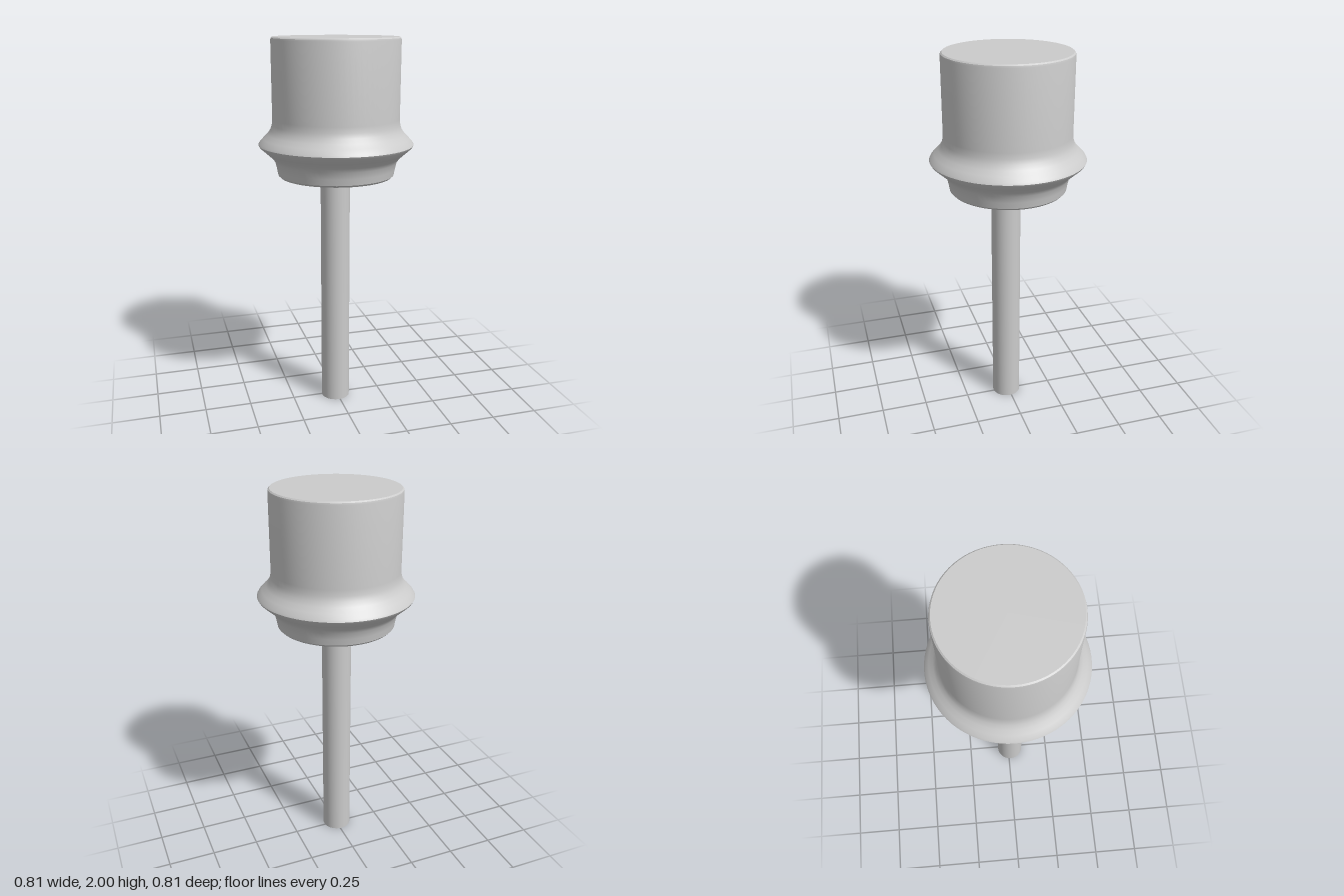
import * as THREE from 'three';
import { toCreasedNormals } from 'three/addons/utils/BufferGeometryUtils.js';

const material = new THREE.MeshStandardMaterial({ color: 0xcccccc });

// Revolves a [radius, height] profile, keeping its sharp edges
function turned(name, profile, segments) {
  const points = profile.map(([r, y]) => new THREE.Vector2(r, y));
  const geometry = toCreasedNormals(new THREE.LatheGeometry(points, segments), 0.6);
  const mesh = new THREE.Mesh(geometry, material);
  mesh.name = name;
  return mesh;
}

export function createModel() {
  const model = new THREE.Group();
  model.name = 'flangedKnob';

  // Head: hollow underside, rim, flared flange, then straight drum with a flat top
  const cavity = [[0, 1.52], [0.08, 1.51], [0.12, 1.47], [0.145, 1.41], [0.17, 1.365],
    [0.21, 1.335], [0.245, 1.315], [0.265, 1.292]];
  const rim = [[0.275, 1.287], [0.296, 1.287], [0.306, 1.297], [0.312, 1.33], [0.32, 1.365]];
  const flange = [[0.335, 1.388], [0.365, 1.415], [0.4, 1.446], [0.406, 1.457], [0.4, 1.468],
    [0.38, 1.49], [0.358, 1.512], [0.342, 1.535], [0.334, 1.56], [0.331, 1.59]];
  const drum = [[0.331, 1.985], [0.329, 1.994], [0.322, 2], [0, 2]];
  model.add(turned('head', [...cavity, ...rim, ...flange, ...drum], 72));

  // Stem: plain rod, set very slightly off the head's axis
  const stem = turned('stem', [[0, 0], [0.078, 0], [0.078, 1.53], [0, 1.53]], 40);
  stem.position.set(-0.007, 0, 0.01);
  model.add(stem);

  return model;
}
